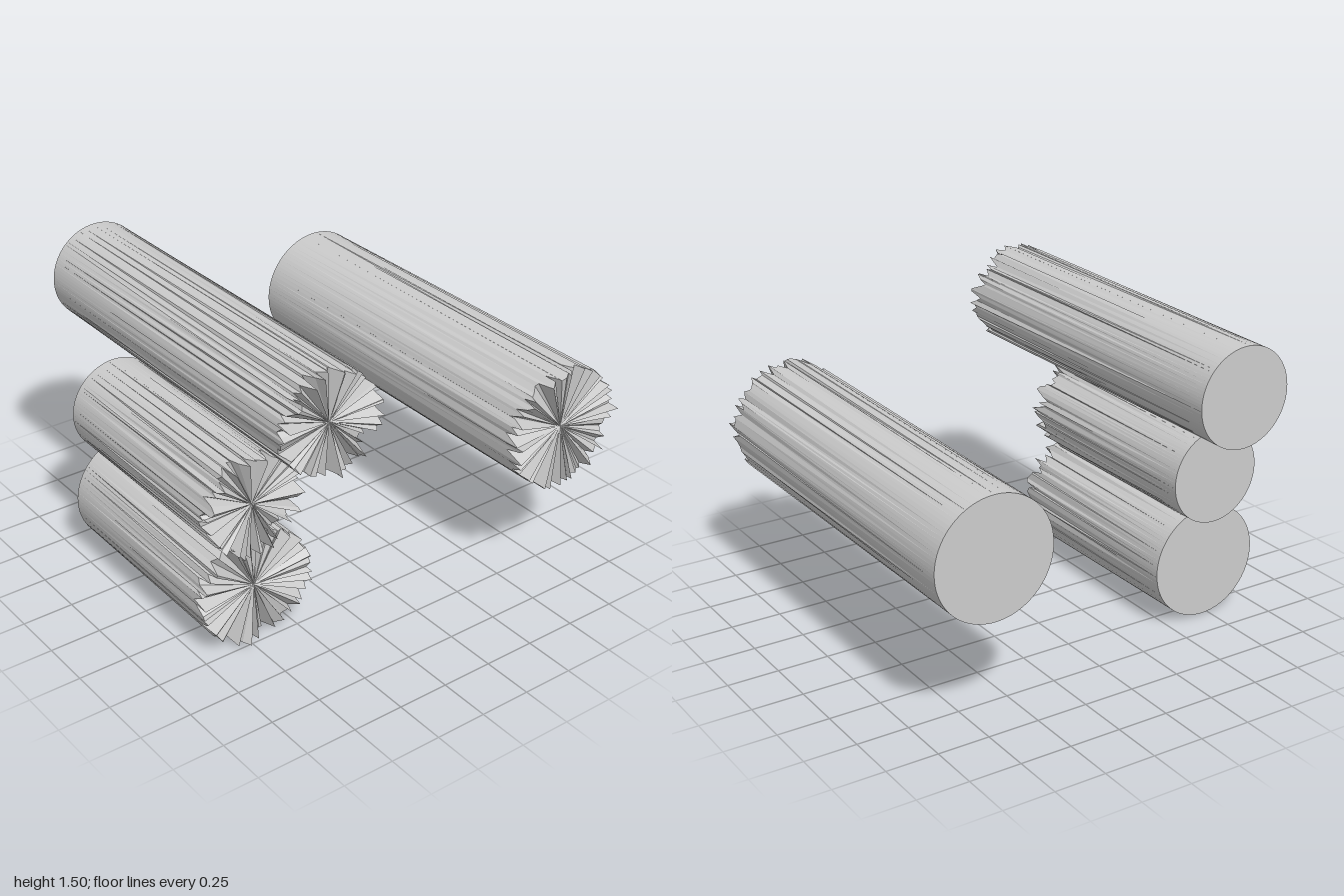
import * as THREE from 'three';

const SIDES = 100;

// Small seeded generator, returns -1..1
function seeded(seed) {
  let s = seed;
  return () => {
    s = (s * 16807) % 2147483647;
    return (s / 2147483647) * 2 - 1;
  };
}

// Log along z: clean sawn back end, splintered front end
function makeLog(name, x, y, radius, back, front, seed, material) {
  const rand = seeded(seed);
  const depth = 0.13; // range of the splinter tips
  const length = front - back;
  const geo = new THREE.CylinderGeometry(radius, radius, length, SIDES, 1);
  geo.rotateX(Math.PI / 2);
  geo.translate(0, 0, back + length / 2);

  // One random offset per rim point, shared by the wall and the end face
  const rim = Array.from({ length: SIDES }, () => ({
    r: radius + 0.002 + rand() * 0.008,
    turn: rand() * 0.05,
    z: front - (depth / 2) * (1 + rand()),
  }));

  const pos = geo.attributes.position;
  for (let i = 0; i < pos.count; i++) {
    if (pos.getZ(i) < front - 0.01) continue;
    const px = pos.getX(i), py = pos.getY(i);
    if (Math.hypot(px, py) < radius / 2) {
      pos.setZ(i, front - depth * 0.55); // heart of the broken end
      continue;
    }
    const angle = Math.atan2(py, px);
    const k = (Math.round((angle / (Math.PI * 2)) * SIDES) + SIDES) % SIDES;
    const p = rim[k];
    pos.setXYZ(i, Math.cos(angle + p.turn) * p.r, Math.sin(angle + p.turn) * p.r, p.z);
  }
  geo.computeVertexNormals();

  const mesh = new THREE.Mesh(geo, material);
  mesh.name = name;
  mesh.position.set(x, y, 0);
  return mesh;
}

export function createModel() {
  const group = new THREE.Group();
  group.name = 'brokenLogs';
  const material = new THREE.MeshStandardMaterial({
    color: 0xcccccc, flatShading: true, side: THREE.DoubleSide,
  });

  // name, x, y, radius, back z, front z, seed
  const logs = [
    ['topLog', -0.585, 1.26, 0.239, -0.98, 0.92, 1013],
    ['middleLog', -0.73, 0.735, 0.234, -0.63, 0.56, 20771],
    ['bottomLog', -0.71, 0.29, 0.28, -0.6, 0.535, 33391],
    ['sideLog', 0.7, 0.815, 0.29, -0.975, 0.97, 47123],
  ];
  for (const log of logs) group.add(makeLog(...log, material));
  return group;
}
